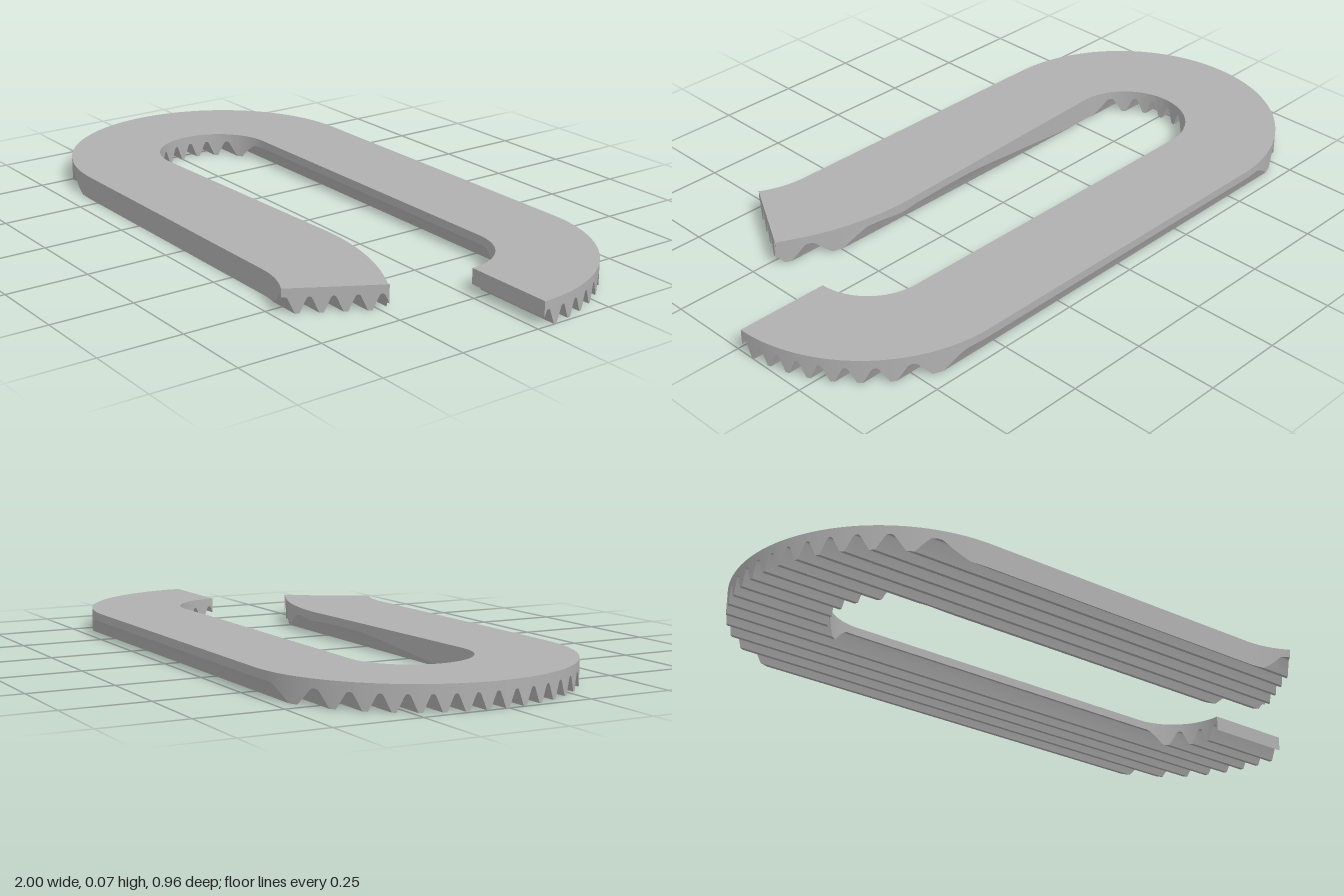
import * as THREE from 'three';
import { toCreasedNormals } from 'three/addons/utils/BufferGeometryUtils.js';

const TOP = 0.072, ROOT = 0.047;
const FIRST = 0.441, PITCH = 0.05575, TEETH = 17;
// half tooth, tip to root: [offset from tooth centre, height]
const HALF = [[0.005, 0], [0.0205, 0.04], [0.0235, 0.0455], [0.0279, ROOT]];

// height of the toothed underside at depth z
function underside(z) {
  const i = THREE.MathUtils.clamp(Math.round((FIRST - z) / PITCH), 0, TEETH - 1);
  const d = Math.abs(z - (FIRST - i * PITCH));
  if (d <= HALF[0][0]) return 0;
  for (let k = 1; k < HALF.length; k++) {
    const [d0, y0] = HALF[k - 1], [d1, y1] = HALF[k];
    if (d <= d1) return y0 + (y1 - y0) * (d - d0) / (d1 - d0);
  }
  return ROOT;
}

// z values where the tooth profile bends, ascending
function bends() {
  const list = [];
  for (let i = TEETH - 1; i >= 0; i--) {
    const c = FIRST - i * PITCH;
    for (let k = 2; k >= 0; k--) list.push(c - HALF[k][0]);
    for (let k = 0; k < 4; k++) list.push(c + HALF[k][0]);
  }
  return list;
}

// open loop outline in (x, z)
function outline() {
  const s = new THREE.Shape(), q = Math.PI / 2, r30 = Math.PI / 6;
  s.moveTo(1, -0.02);
  s.absarc(0.54, -0.02, 0.46, 0, -q, true);
  s.absarc(-0.54, -0.02, 0.46, -q, -3 * q, true);
  s.absarc(0.4, 0.72, 0.28, -q, -q + r30, false);
  s.lineTo(0.68, 0.23);
  s.absarc(0.28, 0.928, 0.8, -q + r30, -q, true);
  s.absarc(-0.54, -0.02, 0.18, q, 3 * q, false);
  s.absarc(0.54, -0.02, 0.178, -q, 0, false);
  const pts = s.getPoints(40).filter((p, i, a) => i === 0 || p.distanceTo(a[i - 1]) > 1e-4);
  if (pts[0].distanceTo(pts[pts.length - 1]) < 1e-4) pts.pop();
  return THREE.ShapeUtils.isClockWise(pts) ? pts.reverse() : pts;
}

// keep the part of a convex polygon on one side of z = cut
function clip(poly, cut, sign) {
  const out = [];
  poly.forEach((a, i) => {
    const b = poly[(i + 1) % poly.length];
    const da = (a.y - cut) * sign, db = (b.y - cut) * sign;
    if (da >= 0) out.push(a);
    if (da * db < 0) out.push(a.clone().lerp(b, da / (da - db)));
  });
  return out;
}

function geometryFrom(positions) {
  const g = new THREE.BufferGeometry();
  g.setAttribute('position', new THREE.Float32BufferAttribute(positions, 3));
  return toCreasedNormals(g, 0.3);
}

export function createModel() {
  const group = new THREE.Group();
  group.name = 'toothedClip';
  const grey = new THREE.MeshStandardMaterial({ color: 0xb0b0b0 });
  grey.name = 'grey';
  const add = (name, positions) => {
    const mesh = new THREE.Mesh(geometryFrom(positions), grey);
    mesh.name = name;
    group.add(mesh);
  };

  const pts = outline(), cuts = bends();
  const tris = THREE.ShapeUtils.triangulateShape(pts, []).map(t => t.map(i => pts[i]));
  const low = p => [p.x, underside(p.y), p.y];
  const high = p => [p.x, TOP, p.y];

  // flat upper face
  add('topFace', tris.flatMap(([a, b, c]) => [...high(a), ...high(c), ...high(b)]));

  // ridged underside: the face sliced at every bend of the tooth profile
  const teeth = [];
  const limits = [-1, ...cuts, 1];
  for (const tri of tris) {
    for (let i = 0; i < limits.length - 1; i++) {
      const piece = clip(clip(tri, limits[i], 1), limits[i + 1], -1);
      for (let k = 1; k < piece.length - 1; k++) {
        teeth.push(...low(piece[0]), ...low(piece[k]), ...low(piece[k + 1]));
      }
    }
  }
  add('teeth', teeth);

  // side walls, following the teeth along their lower edge
  const wall = [];
  pts.forEach((a, i) => {
    const b = pts[(i + 1) % pts.length];
    const steps = cuts.map(z => (z - a.y) / (b.y - a.y)).filter(t => t > 1e-6 && t < 1 - 1e-6);
    steps.sort((m, n) => m - n);
    const run = [a, ...steps.map(t => a.clone().lerp(b, t)), b];
    for (let k = 0; k < run.length - 1; k++) {
      const p = run[k], r = run[k + 1];
      wall.push(...low(p), ...high(p), ...high(r), ...low(p), ...high(r), ...low(r));
    }
  });
  add('sideWall', wall);

  return group;
}
